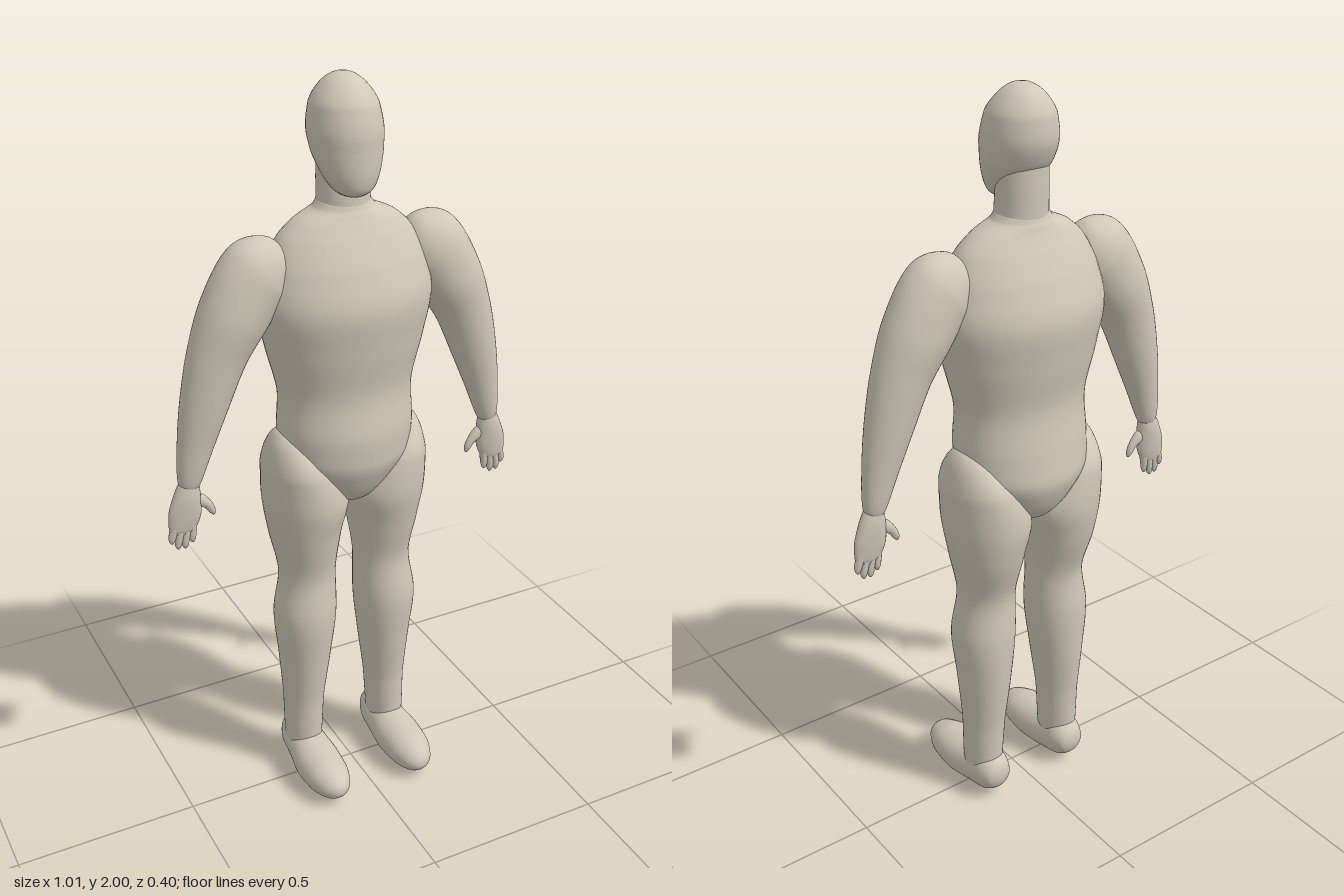
import * as THREE from 'three';
import { mergeVertices } from 'three/addons/utils/BufferGeometryUtils.js';

const clay = new THREE.MeshStandardMaterial({ color: 0xd0c8b8 });
clay.name = 'warm clay';

// Smooth closed-ring loft through sections [x, y, z, radiusAcross, radiusDepth].
// Squared radii are interpolated, so a zero radius gives a rounded end.
function loft(sections, { side = 1, tilt = false, sides = 40, steps = 8 } = {}) {
  const path = new THREE.CatmullRomCurve3(sections.map(s => new THREE.Vector3(s[0] * side, s[1], s[2])));
  const size = new THREE.CatmullRomCurve3(sections.map(s => new THREE.Vector3(s[3] ** 2, s[4] ** 2, 0)));
  const rows = (sections.length - 1) * steps;
  const positions = [], index = [];
  for (let i = 0; i <= rows; i++) {
    const c = path.getPoint(i / rows), t = path.getTangent(i / rows), r = size.getPoint(i / rows);
    const u = tilt ? new THREE.Vector2(t.y, -t.x).normalize() : new THREE.Vector2(Math.sign(t.y), 0);
    const ru = Math.sqrt(Math.max(r.x, 0)), rv = Math.sqrt(Math.max(r.y, 0));
    for (let j = 0; j < sides; j++) {
      const a = (j / sides) * Math.PI * 2, k = Math.cos(a) * ru;
      positions.push(c.x + u.x * k, c.y + u.y * k, c.z + Math.sin(a) * rv);
      if (i < rows) {
        const p = i * sides + j, q = i * sides + (j + 1) % sides;
        index.push(p, p + sides, q, q, p + sides, q + sides);
      }
    }
  }
  let geometry = new THREE.BufferGeometry();
  geometry.setAttribute('position', new THREE.Float32BufferAttribute(positions, 3));
  geometry.setIndex(index);
  geometry = mergeVertices(geometry, 1e-5);
  geometry.computeVertexNormals();
  return geometry;
}

function add(parent, name, geometry) {
  const mesh = new THREE.Mesh(geometry, clay);
  mesh.name = name;
  parent.add(mesh);
  return mesh;
}

function makeArm(side) {
  const arm = new THREE.Group();
  arm.name = side > 0 ? 'leftArm' : 'rightArm';
  const z = -0.033;
  const limb = (name, sections, sides) => add(arm, name, loft(sections, { side, tilt: true, sides }));

  limb('armLimb', [
    [0.162, 1.585, z, 0, 0], [0.19, 1.573, z, 0.069, 0.058], [0.24, 1.54, z, 0.096, 0.08],
    [0.3, 1.45, z, 0.09, 0.082], [0.345, 1.36, z, 0.077, 0.07], [0.385, 1.24, z, 0.064, 0.057],
    [0.418, 1.12, z, 0.047, 0.041], [0.44, 1.02, z, 0.029, 0.026], [0.444, 0.99, z, 0, 0],
  ]);
  limb('palm', [
    [0.438, 1.03, z, 0.022, 0.02], [0.447, 0.985, z, 0.036, 0.025], [0.456, 0.935, z, 0.044, 0.021],
    [0.466, 0.892, z, 0.036, 0.014], [0.468, 0.87, z, 0, 0],
  ], 24);
  limb('thumb', [
    [0.435, 0.985, z, 0, 0], [0.415, 0.966, z, 0.017, 0.014], [0.393, 0.946, z, 0.012, 0.011],
    [0.383, 0.928, z, 0.01, 0.009], [0.377, 0.912, z, 0, 0],
  ], 12);
  // Four fingers, each given as tip x and tip y
  [[0.44, 0.845], [0.46, 0.832], [0.479, 0.834], [0.495, 0.853]].forEach(([x, y], i) => {
    const base = 0.437 + i * 0.016;
    limb('finger', [
      [base, 0.925, z, 0, 0], [base, 0.905, z, 0.012, 0.012],
      [x, y + 0.016, z, 0.0095, 0.009], [x, y, z, 0, 0],
    ], 12);
  });
  return arm;
}

function makeLeg(side) {
  const leg = new THREE.Group();
  leg.name = side > 0 ? 'leftLeg' : 'rightLeg';
  add(leg, 'legLimb', loft([
    [0.165, 1.108, -0.04, 0, 0], [0.155, 1.07, -0.04, 0.055, 0.08], [0.136, 1.0, -0.042, 0.092, 0.124],
    [0.115, 0.9, -0.044, 0.113, 0.131], [0.117, 0.8, -0.046, 0.097, 0.114],
    [0.114, 0.66, -0.04, 0.078, 0.082], [0.123, 0.54, -0.038, 0.086, 0.092],
    [0.125, 0.4, -0.042, 0.072, 0.083], [0.129, 0.25, -0.044, 0.057, 0.066],
    [0.132, 0.12, -0.043, 0.052, 0.061], [0.132, 0.06, -0.043, 0.045, 0.05],
  ], { side }));
  // Foot is lofted heel to toe, then laid forward
  add(leg, 'foot', loft([
    [0.13, -0.13, -0.088, 0, 0], [0.13, -0.118, -0.088, 0.037, 0.04], [0.13, -0.08, -0.086, 0.054, 0.064],
    [0.13, -0.02, -0.074, 0.058, 0.063], [0.132, 0.05, -0.066, 0.066, 0.061],
    [0.132, 0.12, -0.064, 0.061, 0.054], [0.131, 0.175, -0.062, 0.04, 0.035], [0.13, 0.2, -0.062, 0, 0],
  ], { side }).rotateX(Math.PI / 2));
  return leg;
}

export function createModel() {
  const figure = new THREE.Group();
  figure.name = 'mannequin';

  add(figure, 'head', loft([
    [0, 2.0, -0.04, 0, 0], [0, 1.975, -0.04, 0.053, 0.057], [0, 1.93, -0.036, 0.083, 0.09],
    [0, 1.87, -0.03, 0.092, 0.1], [0, 1.82, -0.02, 0.087, 0.091], [0, 1.77, 0, 0.071, 0.07],
    [0, 1.735, 0.014, 0.05, 0.048], [0, 1.715, 0.022, 0, 0],
  ]));

  add(figure, 'neck', loft([
    [0, 1.84, -0.045, 0.062, 0.06], [0, 1.76, -0.043, 0.066, 0.062],
    [0, 1.7, -0.04, 0.068, 0.064], [0, 1.62, -0.04, 0.072, 0.066],
  ]));

  // Chest, waist and pelvis
  add(figure, 'torso', loft([
    [0, 1.71, -0.04, 0.06, 0.056], [0, 1.68, -0.039, 0.08, 0.068], [0, 1.655, -0.037, 0.135, 0.08],
    [0, 1.62, -0.036, 0.175, 0.1], [0, 1.55, -0.035, 0.213, 0.136], [0, 1.45, -0.035, 0.234, 0.166],
    [0, 1.34, -0.035, 0.214, 0.154], [0, 1.2, -0.035, 0.182, 0.136], [0, 1.1, -0.036, 0.185, 0.15],
    [0, 1.03, -0.042, 0.181, 0.153], [0, 0.96, -0.045, 0.135, 0.132], [0, 0.9, -0.045, 0.07, 0.09],
    [0, 0.875, -0.045, 0, 0],
  ], { sides: 56 }));

  for (const side of [1, -1]) figure.add(makeArm(side), makeLeg(side));
  return figure;
}
